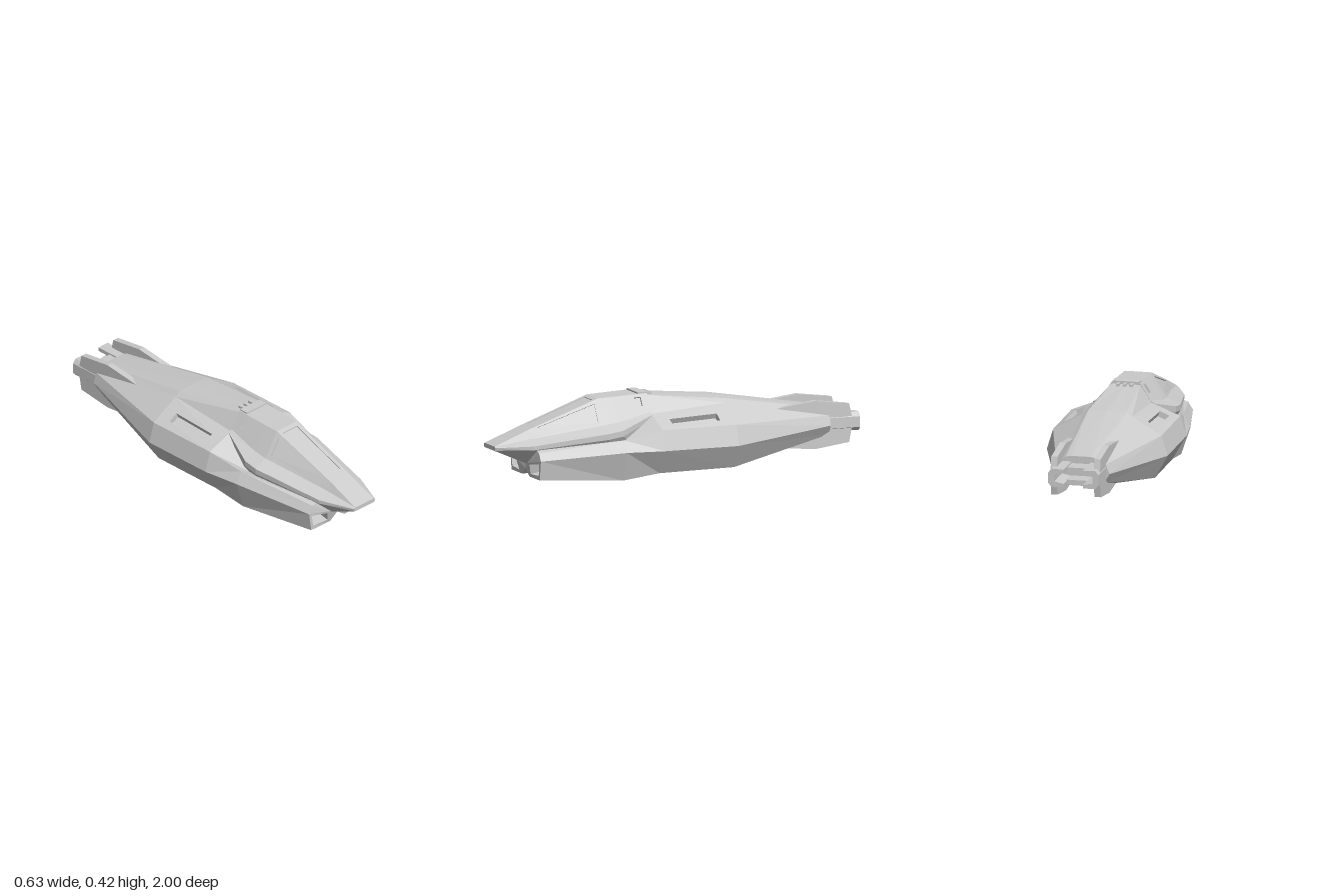
import * as THREE from 'three';

const material = new THREE.MeshStandardMaterial({ color: 0xcccccc, flatShading: true, side: THREE.DoubleSide });
const V = (x, y, z) => new THREE.Vector3(x, y, z);

// Collects faces for the +x half and mirrors each one to -x
class HalfShell {
  constructor() { this.data = []; }
  tri(a, b, c) {
    for (const p of [a, b, c]) this.data.push(p.x, p.y, p.z);
    for (const p of [a, c, b]) this.data.push(-p.x, p.y, p.z);
  }
  quad(a, b, c, d) { this.tri(a, b, c); this.tri(a, c, d); }
  // A four-cornered facet with a sunken rectangle; u runs a to d, v runs a to b
  recess([a, b, c, d], [u0, u1, v0, v1, depth]) {
    const at = (u, v) => a.clone().lerp(d, u).lerp(b.clone().lerp(c, u), v);
    const outer = [a, b, c, d];
    const hole = [at(u0, v0), at(u0, v1), at(u1, v1), at(u1, v0)];
    const normal = c.clone().sub(a).cross(d.clone().sub(b)).normalize();
    if (v0 === 0) normal.setX(0);
    const floor = hole.map(p => p.clone().addScaledVector(normal, -depth));
    for (let i = 0; i < 4; i++) {
      if (v0 === 0 && i === 3) continue; // open towards the mirror plane
      const k = (i + 1) % 4;
      this.quad(outer[i], outer[k], hole[k], hole[i]);
      this.quad(hole[i], hole[k], floor[k], floor[i]);
    }
    this.quad(...floor);
  }
  // Joins half sections, ordered front to back, each listed top to bottom
  loft(sections, recesses = {}) {
    for (let i = 0; i < sections.length - 1; i++) {
      for (let j = 0; j < sections[i].length - 1; j++) {
        const s = sections[i], t = sections[i + 1];
        const corners = [s[j], s[j + 1], t[j + 1], t[j]];
        const hole = recesses[`${i},${j}`];
        if (hole) this.recess(corners, hole);
        else this.quad(...corners);
      }
    }
  }
  cap(section, front) {
    const centre = section[0].clone().lerp(section[section.length - 1], 0.5);
    for (let j = 0; j < section.length - 1; j++) {
      if (front) this.tri(centre, section[j + 1], section[j]);
      else this.tri(centre, section[j], section[j + 1]);
    }
  }
  mesh(name) {
    const g = new THREE.BufferGeometry();
    g.setAttribute('position', new THREE.Float32BufferAttribute(this.data, 3));
    g.computeVertexNormals();
    return named(g, name);
  }
}

function named(geometry, name) {
  const mesh = new THREE.Mesh(geometry, material);
  mesh.name = name;
  return mesh;
}

const section = (z, pts) => pts.map(([x, y]) => V(x, y, z));

function extrude(points, depth) {
  const shape = new THREE.Shape(points.map(([x, y]) => new THREE.Vector2(x, y)));
  return new THREE.ExtrudeGeometry(shape, { depth, bevelEnabled: false });
}

// Side profile given as (z, y), plate spanning x0 to x0 + width
function sidePlate(points, x0, width) {
  return extrude(points, width).rotateY(-Math.PI / 2).translate(x0 + width, 0, 0);
}

function box(name, w, h, d, x, y, z) {
  return named(new THREE.BoxGeometry(w, h, d).translate(x, y, z), name);
}

// Main hull with twin lower pods, shoulder slots and belly bays
function buildHull() {
  const shell = new HalfShell();
  const sections = [
    section(0.8, [[0, 0.15], [0.07, 0.15], [0.15, 0.17], [0.175, 0.16], [0.2, 0.12], [0.185, 0.02], [0.05, 0.02], [0, 0.055]]),
    section(0.36, [[0, 0.2], [0.1, 0.2], [0.2, 0.19], [0.255, 0.21], [0.29, 0.15], [0.243, 0], [0.07, 0.01], [0, 0.055]]),
    section(0.16, [[0, 0.405], [0.075, 0.405], [0.135, 0.315], [0.285, 0.255], [0.317, 0.15], [0.245, 0.025], [0.07, 0.025], [0, 0.06]]),
    section(-0.25, [[0, 0.37], [0.1, 0.365], [0.13, 0.345], [0.285, 0.255], [0.317, 0.15], [0.25, 0.03], [0.07, 0.025], [0, 0.06]]),
    section(-0.83, [[0, 0.275], [0.05, 0.275], [0.08, 0.27], [0.13, 0.24], [0.15, 0.19], [0.12, 0.14], [0.05, 0.12], [0, 0.12]]),
  ];
  shell.loft(sections, {
    '2,2': [0.18, 0.82, 0.42, 0.74, 0.03],
    '2,5': [0.05, 0.74, 0.25, 0.62, 0.03],
  });
  shell.cap(sections[4], false);
  // Pod fronts with sunken intakes
  const f = sections[0], inner = V(0.07, 0.095, 0.82);
  shell.recess([inner, f[6], f[5], f[4]], [0.14, 0.88, 0.14, 0.78, 0.07]);
  for (const [a, b] of [[1, 0], [2, 1], [3, 2], [4, 3], [7, 6], [0, 7]]) shell.tri(inner, f[a], f[b]);
  return shell.mesh('hull');
}

// Nose and cockpit with sunken window panes
function buildCockpit() {
  const shell = new HalfShell();
  const sections = [
    section(1, [[0, 0.19], [0.066, 0.19], [0.071, 0.188], [0.075, 0.184], [0.072, 0.17], [0.06, 0.168], [0, 0.168]]),
    section(0.82, [[0, 0.262], [0.063, 0.262], [0.085, 0.218], [0.15, 0.192], [0.15, 0.172], [0.062, 0.09], [0, 0.09]]),
    section(0.43, [[0, 0.403], [0.07, 0.403], [0.15, 0.275], [0.222, 0.242], [0.222, 0.212], [0.15, 0.1], [0, 0.09]]),
    section(0.35, [[0, 0.406], [0.073, 0.406], [0.15, 0.285], [0.218, 0.253], [0.218, 0.223], [0.15, 0.1], [0, 0.09]]),
    section(0.16, [[0, 0.414], [0.075, 0.414], [0.13, 0.325], [0.15, 0.312], [0.15, 0.29], [0.1, 0.1], [0, 0.09]]),
  ];
  shell.loft(sections, {
    '1,0': [0.12, 0.94, 0, 0.74, 0.005],
    '1,1': [0.14, 0.94, 0.14, 0.84, 0.006],
    '3,1': [0.6, 0.8, 0.15, 0.6, 0.012],
  });
  shell.cap(sections[0], true);
  shell.cap(sections[4], false);
  return shell.mesh('cockpit');
}

export function createModel() {
  const group = new THREE.Group();
  group.name = 'spacecraft';
  group.add(buildHull(), buildCockpit());

  // Roof hatch hinge
  group.add(box('roofHinge', 0.14, 0.022, 0.05, 0, 0.409, 0.185));
  for (const x of [-0.035, 0, 0.035]) group.add(box('hingeTab', 0.016, 0.018, 0.05, x, 0.405, 0.145));

  // Tail: fins above and below, and a channel-shaped prong on each side
  const upperFin = [[-0.5, 0.27], [-0.53, 0.292], [-0.75, 0.32], [-0.94, 0.295], [-0.955, 0.23], [-0.8, 0.22]];
  const lowerFin = [[-0.58, 0.12], [-0.6, 0.085], [-0.75, 0.07], [-0.94, 0.095], [-0.955, 0.17], [-0.8, 0.18]];
  const prong = [[0.05, 0.245], [0.115, 0.247], [0.132, 0.225], [0.132, 0.17], [0.115, 0.152], [0.05, 0.152],
    [0.05, 0.17], [0.1, 0.18], [0.1, 0.215], [0.05, 0.225]];
  for (const side of [1, -1]) {
    const name = side > 0 ? 'left' : 'right';
    const x0 = side > 0 ? 0.097 : -0.13;
    group.add(named(sidePlate(upperFin, x0, 0.033), name + 'UpperFin'));
    group.add(named(sidePlate(lowerFin, x0, 0.033), name + 'LowerFin'));
    group.add(named(extrude(prong.map(([x, y]) => [x * side, y]), 0.19).translate(0, 0, -1), name + 'TailProng'));
  }

  // Plates bridging the prongs
  group.add(box('tailPlateTop', 0.11, 0.014, 0.1, 0, 0.23, -0.87));
  group.add(box('tailPlateBottom', 0.11, 0.014, 0.1, 0, 0.165, -0.87));
  return group;
}
